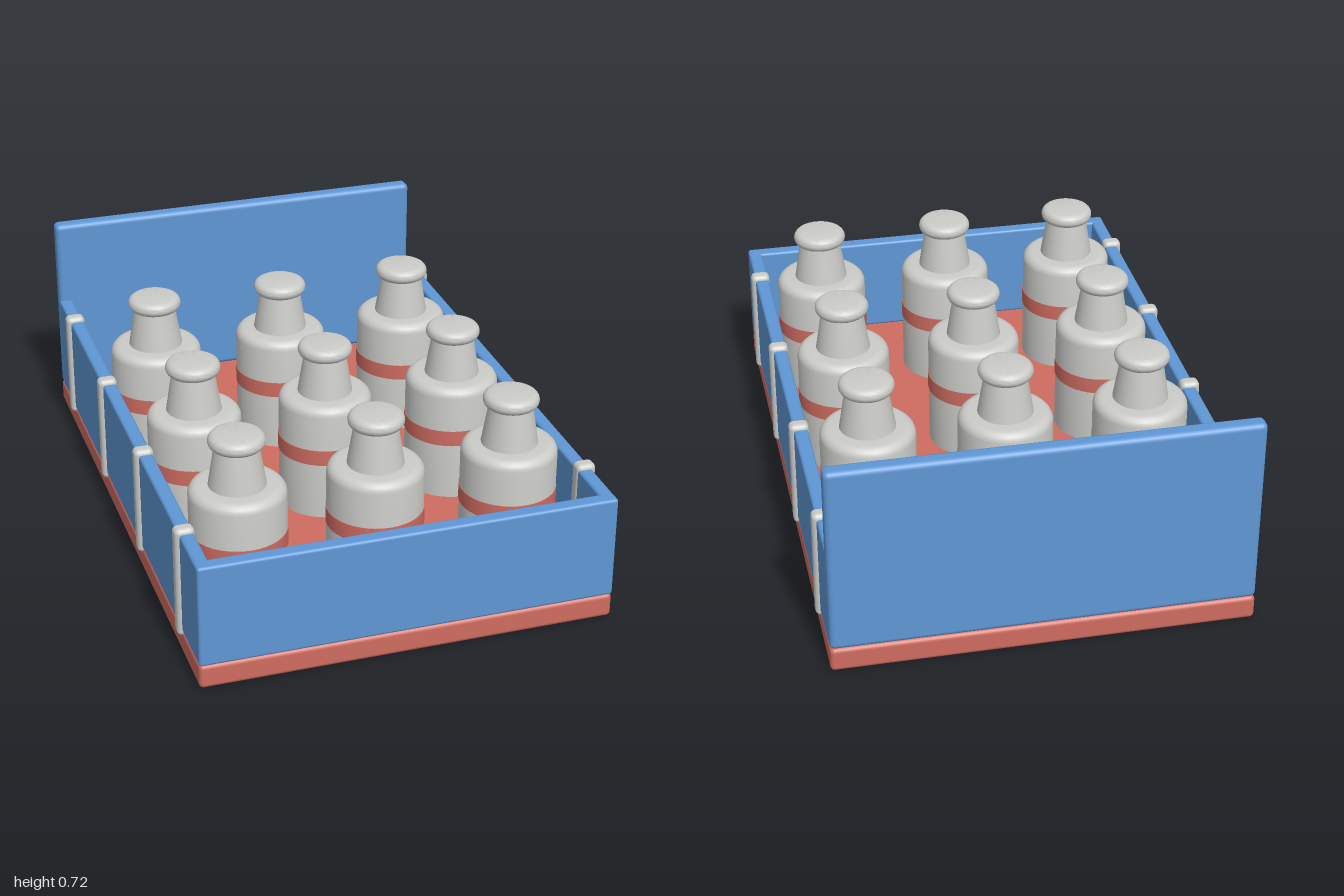
import * as THREE from 'three';
import { toCreasedNormals } from 'three/addons/utils/BufferGeometryUtils.js';
import { RoundedBoxGeometry } from 'three/addons/geometries/RoundedBoxGeometry.js';

const blue = new THREE.MeshStandardMaterial({ name: 'blue paint', color: 0x5f97d5 });
const red = new THREE.MeshStandardMaterial({ name: 'red paint', color: 0xcf6c61 });
const grey = new THREE.MeshStandardMaterial({ name: 'light grey metal', color: 0xcbccc8 });

// Rounded box given by its min and max corners
function block(name, material, [x0, y0, z0], [x1, y1, z1], radius) {
  const geometry = new RoundedBoxGeometry(x1 - x0, y1 - y0, z1 - z0, 3, radius);
  const mesh = new THREE.Mesh(geometry, material);
  mesh.name = name;
  mesh.position.set((x0 + x1) / 2, (y0 + y1) / 2, (z0 + z1) / 2);
  return mesh;
}

// Quarter-circle corner points around (cx, cy), from angle a to b in degrees
function arc(cx, cy, r, a, b, steps = 5) {
  return Array.from({ length: steps + 1 }, (_, i) => {
    const t = THREE.MathUtils.degToRad(a + (b - a) * i / steps);
    return new THREE.Vector2(cx + r * Math.cos(t), cy + r * Math.sin(t));
  });
}

function lathe(points) {
  return toCreasedNormals(new THREE.LatheGeometry(points, 40), 0.6);
}

export function createModel() {
  const model = new THREE.Group();
  model.name = 'flatbedWithChurns';
  const W = 0.675, inner = 0.628, floor = 0.085, rim = 0.43;

  // Bed and walls
  model.add(block('bed', red, [-W, 0.003, -1], [W, floor, 1], 0.015));
  model.add(block('frontWall', blue, [-W, floor - 0.002, 0.95], [W, rim, 1], 0.01));
  model.add(block('tallBackWall', blue, [-W, floor - 0.002, -1], [W, 0.725, -0.942], 0.018));
  for (const s of [-1, 1]) {
    const xs = [s * inner, s * W].sort((a, b) => a - b);
    model.add(block('sideWall', blue, [xs[0], floor - 0.002, -0.96], [xs[1], rim - 0.001, 0.985], 0.01));

    // Upright straps along each side
    const ss = [s * 0.624, s * 0.689].sort((a, b) => a - b);
    for (const z of [-0.773, -0.258, 0.258, 0.773]) {
      model.add(block('strap', grey, [ss[0], 0.065, z - 0.025], [ss[1], 0.445, z + 0.025], 0.017));
    }
  }

  // Churn profile: body with rounded shoulder, tapered neck, rounded lid
  const V = (x, y) => new THREE.Vector2(x, y);
  const bodyGeo = lathe([
    V(0, floor), V(0.155, floor), ...arc(0.123, 0.458, 0.032, 0, 90), V(0.08, 0.49),
  ]);
  const neckGeo = lathe([V(0.092, 0.485), V(0.07, 0.622)]);
  const lidGeo = lathe([
    V(0, 0.617), ...arc(0.066, 0.641, 0.024, -90, 90, 10), V(0, 0.665),
  ]);
  const bandGeo = lathe([V(0.15, 0.283), V(0.157, 0.283), V(0.157, 0.337), V(0.15, 0.337)]);

  for (const x of [-0.45, 0, 0.45]) {
    for (const z of [-0.39, 0.126, 0.645]) {
      const churn = new THREE.Group();
      churn.name = 'churn';
      const parts = [
        ['churnBody', bodyGeo, grey], ['churnNeck', neckGeo, grey],
        ['churnLid', lidGeo, grey], ['churnBand', bandGeo, red],
      ];
      for (const [name, geometry, material] of parts) {
        const mesh = new THREE.Mesh(geometry, material);
        mesh.name = name;
        churn.add(mesh);
      }
      churn.position.set(x, 0, z);
      model.add(churn);
    }
  }
  return model;
}
